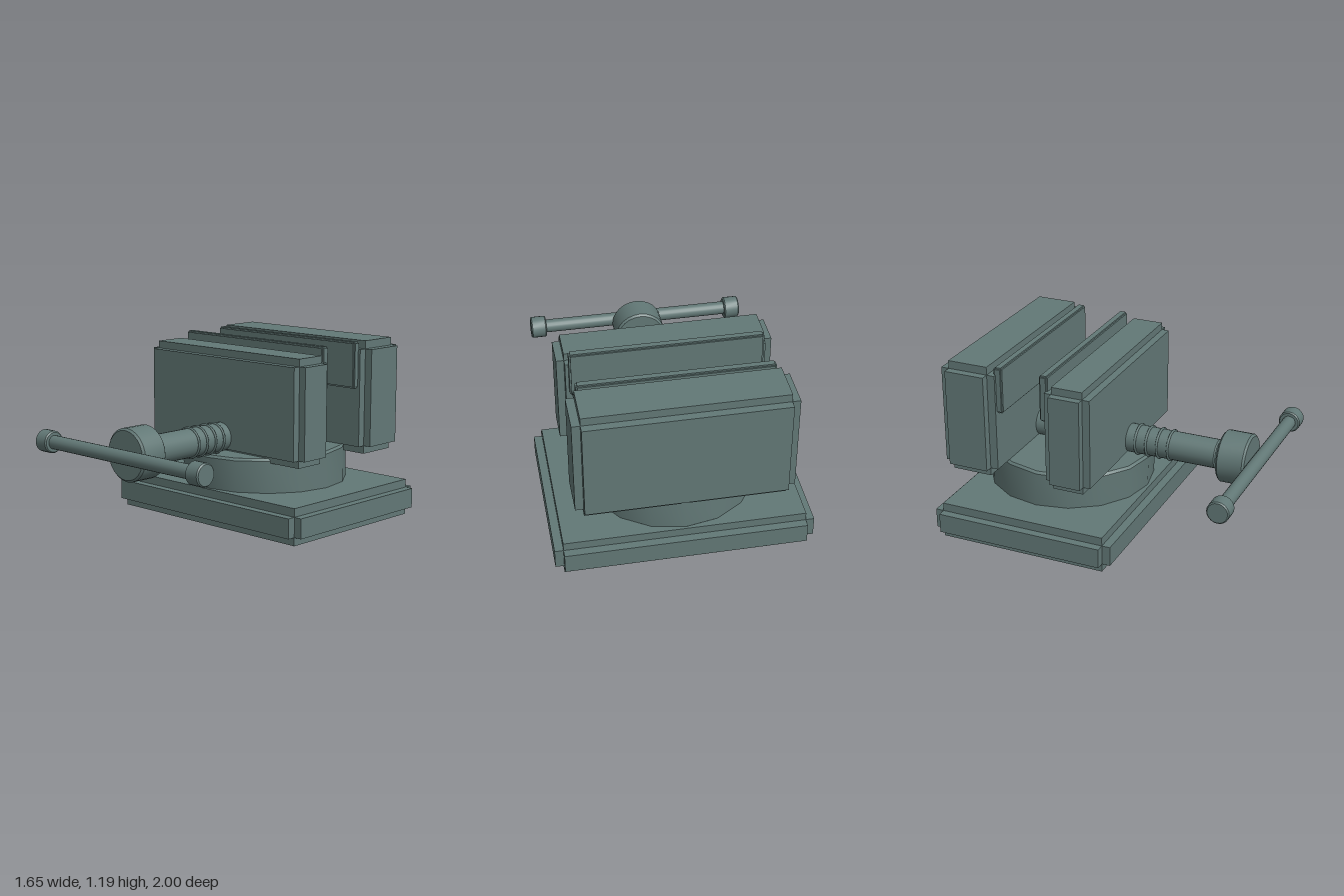
import * as THREE from 'three';
import { toCreasedNormals } from 'three/addons/utils/BufferGeometryUtils.js';

const material = new THREE.MeshStandardMaterial({ color: 0x627876 });

function add(parent, name, geometry, x = 0, y = 0, z = 0) {
  const mesh = new THREE.Mesh(geometry, material);
  mesh.name = name;
  mesh.position.set(x, y, z);
  parent.add(mesh);
  return mesh;
}

// Block with stepped edges: three crossing slabs, each reaching full size along one axis
function steppedBlock(parent, name, min, max, step) {
  const block = new THREE.Group();
  block.name = name;
  const size = max.map((v, i) => v - min[i]);
  const centre = max.map((v, i) => (v + min[i]) / 2);
  ['sideSlab', 'uprightSlab', 'depthSlab'].forEach((label, axis) => {
    const s = size.map((v, i) => (i === axis ? v : v - 2 * step));
    add(block, label, new THREE.BoxGeometry(...s), ...centre);
  });
  parent.add(block);
}

// Cylinder along y with chamfered rims, centred on its middle
function chamferedCylinder(radius, length, chamfer, segments) {
  const h = length / 2;
  const profile = [
    [0, -h], [radius - chamfer, -h], [radius, -h + chamfer],
    [radius, h - chamfer], [radius - chamfer, h], [0, h],
  ].map(([r, y]) => new THREE.Vector2(r, y));
  return toCreasedNormals(new THREE.LatheGeometry(profile, segments), 0.5);
}

export function createModel() {
  const vise = new THREE.Group();
  vise.name = 'benchVise';

  // Base plate and slightly tilted swivel disc
  steppedBlock(vise, 'base', [-0.825, 0, -1], [0.825, 0.24, 0.24], 0.055);
  const swivel = add(vise, 'swivelDisc', chamferedCylinder(0.55, 0.27, 0.015, 16), 0, 0.346, -0.38);
  swivel.rotation.x = 0.035;

  // Jaws
  steppedBlock(vise, 'movingJaw', [-0.685, 0.44, -0.26], [0.685, 1.137, 0.047], 0.049);
  steppedBlock(vise, 'fixedJaw', [-0.685, 0.437, -0.982], [0.685, 1.19, -0.605], 0.053);

  // Gripping plates
  steppedBlock(vise, 'movingJawPlate', [-0.615, 0.88, -0.307], [0.615, 1.187, -0.249], 0.01);
  steppedBlock(vise, 'fixedJawPlate', [-0.615, 0.88, -0.622], [0.615, 1.187, -0.564], 0.01);

  // Screw with thread rings
  const screwY = 0.567;
  const screw = add(vise, 'screw', chamferedCylinder(0.095, 1.33, 0.008, 24), 0, screwY, 0);
  screw.rotation.x = Math.PI / 2;
  for (let i = 0; i < 4; i++) {
    add(vise, 'threadRing', new THREE.TorusGeometry(0.098, 0.008, 8, 24), 0, screwY, 0.113 + i * 0.076);
  }

  // Hub and cross handle
  const hub = add(vise, 'handleHub', chamferedCylinder(0.17, 0.19, 0.013, 24), 0, screwY, 0.789);
  hub.rotation.x = Math.PI / 2;
  const bar = add(vise, 'handleBar', new THREE.CylinderGeometry(0.045, 0.045, 1.3, 20), 0, screwY, 0.926);
  bar.rotation.z = Math.PI / 2;
  for (const side of [-1, 1]) {
    const knob = add(vise, 'handleKnob', chamferedCylinder(0.073, 0.106, 0.008, 20), side * 0.689, screwY, 0.926);
    knob.rotation.z = Math.PI / 2;
  }

  return vise;
}
